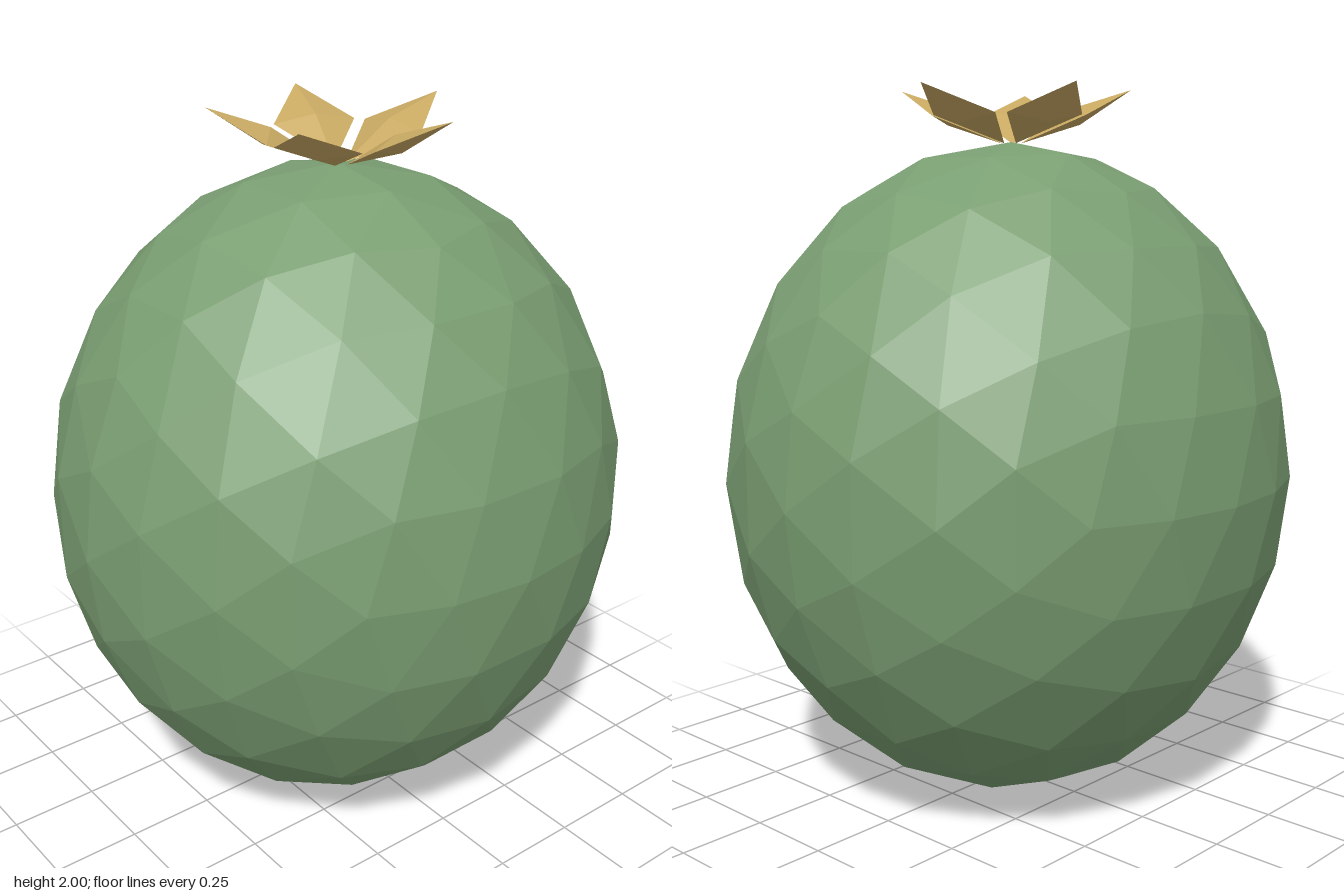
import * as THREE from 'three';

// Split every triangle in four and push the new corners out to the unit sphere
function subdivide(points) {
  const mid = (p, q) => p.clone().add(q).normalize();
  const out = [];
  for (let i = 0; i < points.length; i += 3) {
    const [a, b, c] = points.slice(i, i + 3);
    const ab = mid(a, b), bc = mid(b, c), ca = mid(c, a);
    out.push(a, ab, ca, ab, b, bc, ca, bc, c, ab, bc, ca);
  }
  return out;
}

function icosphere(levels) {
  const pos = new THREE.IcosahedronGeometry(1, 0).getAttribute('position');
  let points = [];
  for (let i = 0; i < pos.count; i++) {
    points.push(new THREE.Vector3().fromBufferAttribute(pos, i).normalize());
  }
  for (let n = 0; n < levels; n++) points = subdivide(points);
  return new THREE.BufferGeometry().setFromPoints(points);
}

export function createModel() {
  const model = new THREE.Group();
  model.name = 'fruit';

  const skin = new THREE.MeshStandardMaterial({ color: 0x7a9e72, flatShading: true });
  skin.name = 'green skin';
  const straw = new THREE.MeshStandardMaterial({ color: 0xc8a962, flatShading: true });
  straw.name = 'dry straw';

  // Faceted egg-shaped body, slightly wider than deep
  const bodyGeometry = icosphere(2).rotateY(Math.PI / 2).scale(0.83, 0.926, 0.784);
  bodyGeometry.computeVertexNormals();
  const body = new THREE.Mesh(bodyGeometry, skin);
  body.name = 'body';
  body.position.y = 0.928;
  model.add(body);

  // Crown of five flattened diamond sepals tilted up and outward
  const crown = new THREE.Group();
  crown.name = 'crown';
  const sepalGeometry = new THREE.OctahedronGeometry(1)
    .scale(0.176, 0.025, 0.117)
    .rotateZ(0.44)
    .translate(0.187, 1.925, 0);
  for (let i = 0; i < 5; i++) {
    const sepal = new THREE.Mesh(sepalGeometry, straw);
    sepal.name = 'sepal' + (i + 1);
    sepal.rotation.y = (i * Math.PI * 2) / 5;
    crown.add(sepal);
  }
  model.add(crown);

  return model;
}
